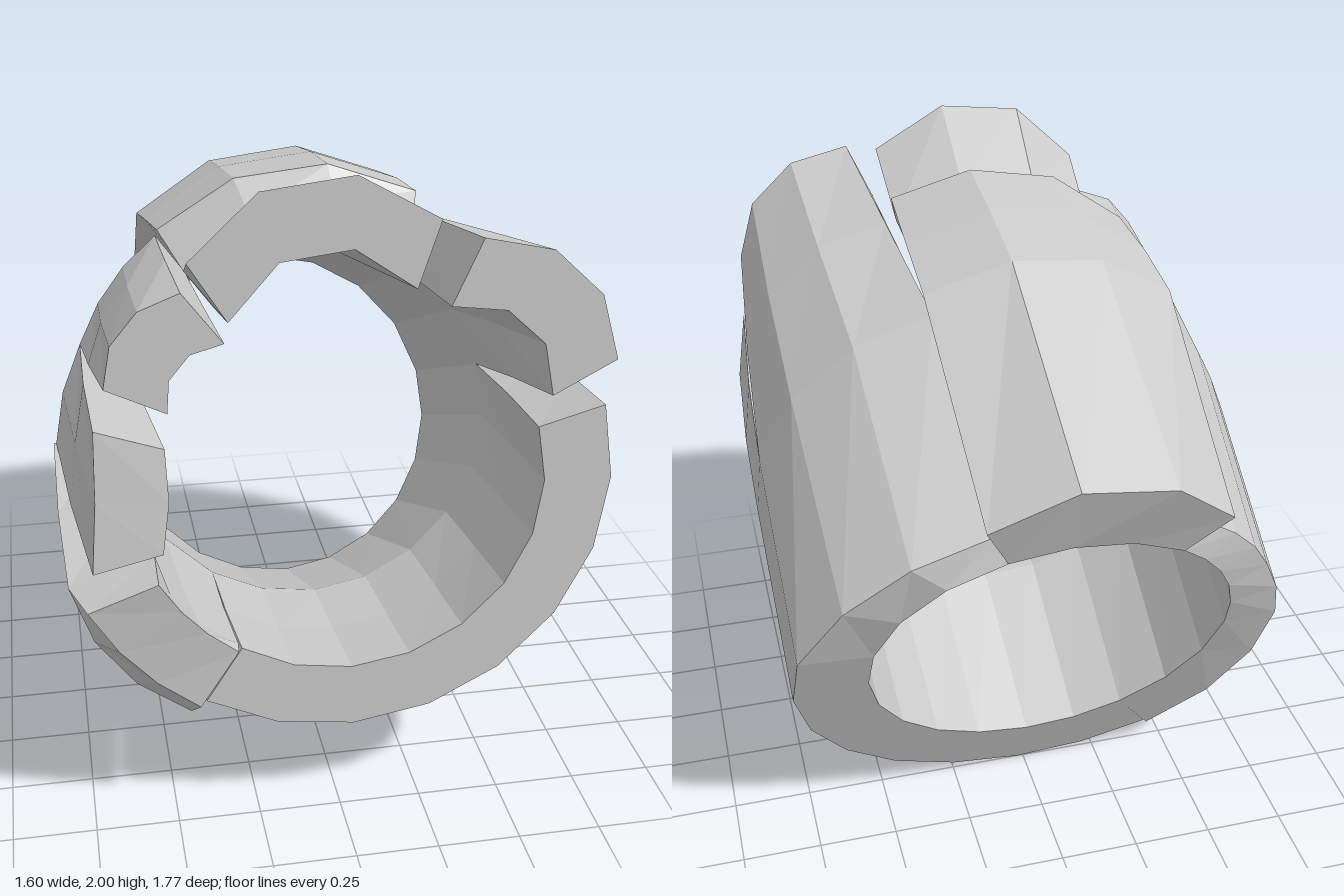
import * as THREE from 'three';

const RAD = Math.PI / 180;
const mix = THREE.MathUtils.lerp;

// Staves run counterclockwise around the log and touch at the back.
// span: angles at the back and waist.
// back, waist: how far the bark stands out there, as [start, end, arch between].
// edges: cross-sections towards the front; each runs over angles from..to, with
// radius `end` at its sides and `mid` at its centre, wall `thick`, depth z (z2 at the far side).
const staves = [
  { name: 'lowerShell', sides: 8, span: [238, 372], back: [1, 1, 0], waist: [1, 1, 0.01],
    edges: [{ from: 238, to: 375.5, end: 0.77, mid: 0.79, thick: 0.2, z: 0.78, z2: 0.78 }] },
  { name: 'upperLeftStave', sides: 3, span: [12, 70], back: [1, 0.85, 0], waist: [1, 0.91, 0.02],
    edges: [{ from: 28, to: 66, end: 0.82, mid: 0.89, thick: 0.2, z: 0.88, z2: 0.88 }] },
  // bent near its front: ridge, valley, then the raised tip
  { name: 'topStave', sides: 3, span: [70, 126], back: [0.98, 0.98, 0.12], waist: [1.02, 1.04, 0.05],
    edges: [
      { from: 70, to: 126, end: 0.79, mid: 0.83, thick: 0.23, z: 0.4, z2: 0.31 },
      { from: 69, to: 126, end: 0.69, mid: 0.745, thick: 0.14, z: 0.45, z2: 0.45 },
      { from: 72, to: 122, end: 0.81, mid: 0.914, thick: 0.2, z: 0.77, z2: 0.77 },
    ] },
  { name: 'upperRightStave', sides: 3, span: [126, 158], back: [0.88, 0.9, 0], waist: [0.93, 0.93, 0],
    edges: [{ from: 127, to: 154, end: 0.73, mid: 0.78, thick: 0.19, z: 0.7, z2: 0.7 }] },
  { name: 'rightStave', sides: 2, span: [158, 182], back: [0.9, 0.95, 0], waist: [0.93, 0.98, 0],
    edges: [{ from: 160.5, to: 193, end: 0.735, mid: 0.7, thick: 0.2, z: 0.8, z2: 0.84 }] },
  // bark ends in a bevel before the tip
  { name: 'lowerRightStave', sides: 3, span: [182, 238], back: [0.95, 1.03, 0], waist: [0.99, 1.03, 0],
    edges: [
      { from: 199, to: 237, end: 0.83, mid: 0.85, thick: 0.26, z: 0.72, z2: 0.76 },
      { from: 200, to: 237, end: 0.785, mid: 0.775, thick: 0.21, z: 0.87, z2: 0.8 },
    ] },
];

// Point on an elliptical ring; zOf slants the ring along the log
function ringPoint(deg, rx, ry, cy, zOf) {
  const y = Math.max(0, cy + Math.sin(deg * RAD) * ry);
  return new THREE.Vector3(Math.cos(deg * RAD) * rx, y, zOf(y));
}
const backZ = y => Math.max(-0.89, -0.25 - 0.44 * y);
const waistZ = y => 0.34 - 0.27 * y;

// Value at t of a [start, end, arch] triple
const arched = ([start, end, arch], t) => mix(start, end, t) + arch * Math.sin(Math.PI * t);

// Closed section: outer points, then inner points in reverse
const section = (outer, inner) => [...outer, ...inner.reverse()];

function edgeSection({ from, to, end, mid, thick, z, z2 }, steps) {
  const row = inset => steps.map(t => {
    const r = arched([end, end, mid - end], t) - inset;
    return ringPoint(mix(from, to, t), r, r, 1.1, () => mix(z, z2, t));
  });
  return section(row(0), row(thick));
}

function staveGeometry({ sides, span, back, waist, edges }) {
  const steps = Array.from({ length: sides + 1 }, (_, i) => i / sides);
  const ring = (rx, ry, cy, zOf, swell) => steps.map(t => {
    const s = arched(swell, t);
    return ringPoint(mix(span[0], span[1], t), rx * s, ry * s, cy, zOf);
  });
  const even = [1, 1, 0];

  const backRim = section(ring(0.8, 0.72, 0.72, backZ, back), ring(0.57, 0.53, 0.74, backZ, even));
  // the rim is worn back where the bark is thin
  steps.forEach((t, i) => { backRim[i].z += Math.max(0, 1 - arched(back, t)) * 0.5; });
  const waistRing = section(ring(0.805, 0.78, 1.01, waistZ, waist), ring(0.6, 0.57, 1.02, waistZ, even));
  const fronts = edges.map(e => edgeSection(e, steps));
  // slight bulge halfway from the waist to the first front section
  const bulge = waistRing.map((p, i) => {
    const q = p.clone().lerp(fronts[0][i], 0.5);
    return q.set(q.x * 1.01, mix(1.04, q.y, 1.01), q.z);
  });
  const sections = [backRim, waistRing, bulge, ...fronts];
  const tip = fronts[fronts.length - 1];

  const pos = [];
  const quad = (a, b, c, d) => [a, b, c, a, c, d].forEach(p => pos.push(p.x, p.y, p.z));
  const n = tip.length;
  for (let s = 0; s < sections.length - 1; s++) {
    const A = sections[s], B = sections[s + 1];
    for (let i = 0; i < n; i++) {
      const j = (i + 1) % n;
      quad(A[i], A[j], B[j], B[i]);
    }
  }
  // end grain at both ends
  for (let i = 0; i < sides; i++) {
    quad(tip[i], tip[i + 1], tip[n - 2 - i], tip[n - 1 - i]);
    quad(backRim[i + 1], backRim[i], backRim[n - 1 - i], backRim[n - 2 - i]);
  }
  const geo = new THREE.BufferGeometry();
  geo.setAttribute('position', new THREE.Float32BufferAttribute(pos, 3));
  geo.computeVertexNormals();
  return geo;
}

export function createModel() {
  const group = new THREE.Group();
  group.name = 'hollowLog';
  const material = new THREE.MeshStandardMaterial({ color: 0xcccccc, flatShading: true });
  for (const stave of staves) {
    const mesh = new THREE.Mesh(staveGeometry(stave), material);
    mesh.name = stave.name;
    group.add(mesh);
  }
  return group;
}
